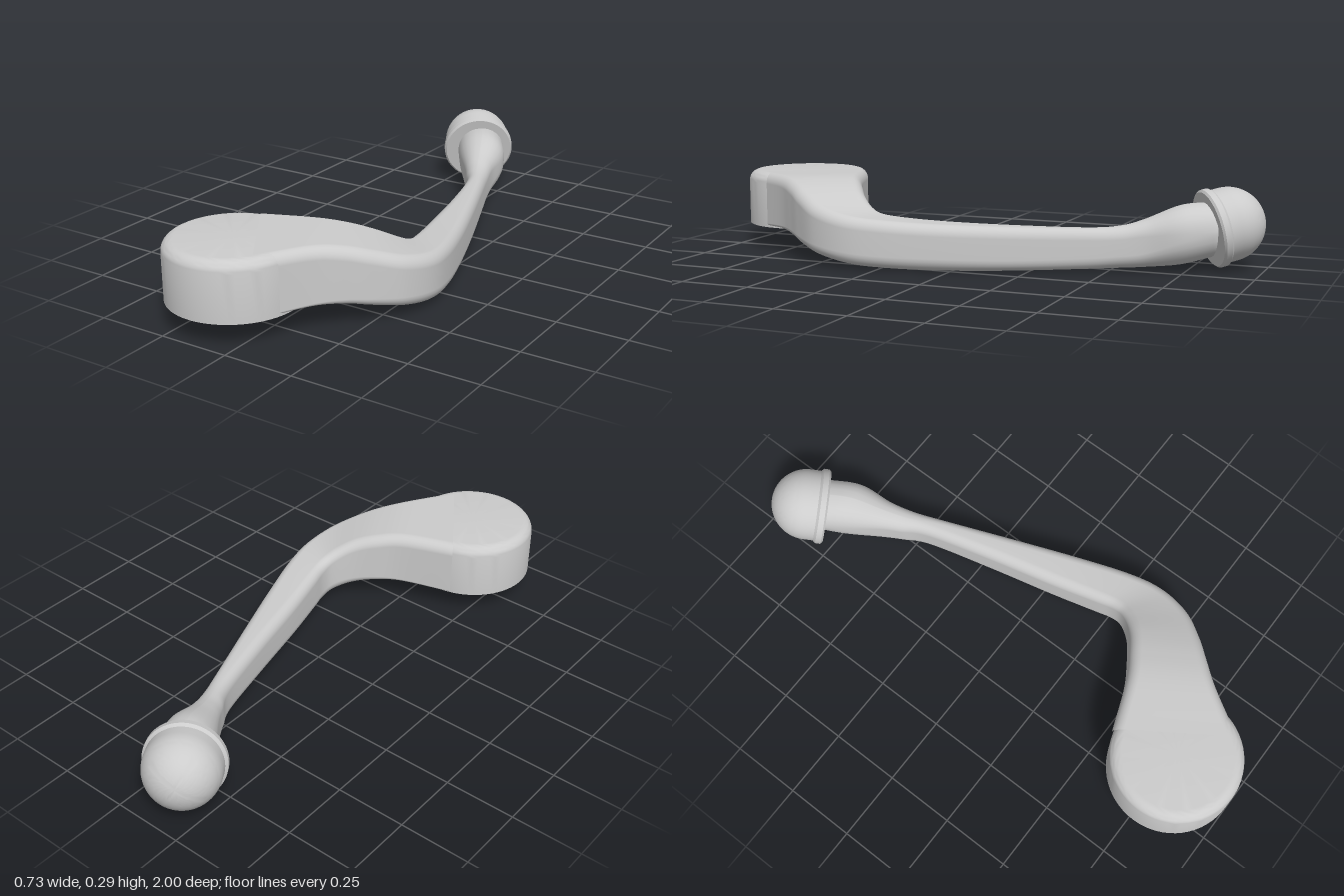
import * as THREE from 'three';
import { toCreasedNormals } from 'three/addons/utils/BufferGeometryUtils.js';

const material = new THREE.MeshStandardMaterial({ color: 0xcccccc });

// Stations along the arm: inner edge x, z | outer edge x, z | top, bottom | top and bottom edge radius
const STATIONS = [
  [-0.20, 0.545, 0.04, 0.90, 0.29, 0.088, 0.04, 0.006],
  [-0.02, 0.476, 0.14, 0.74, 0.29, 0.095, 0.04, 0.01],
  [0.07, 0.425, 0.21, 0.655, 0.275, 0.085, 0.04, 0.02],
  [0.14, 0.376, 0.27, 0.587, 0.25, 0.065, 0.04, 0.03],
  [0.185, 0.32, 0.335, 0.49, 0.215, 0.04, 0.04, 0.04],
  [0.195, 0.27, 0.362, 0.37, 0.19, 0.02, 0.04, 0.045],
  [0.18, 0.196, 0.345, 0.24, 0.177, 0.009, 0.04, 0.045],
  [0.14, 0.03, 0.286, 0.05, 0.165, 0.002, 0.04, 0.045],
  [0.085, -0.21, 0.20, -0.185, 0.158, 0.004, 0.04, 0.04],
  [0.02, -0.45, 0.11, -0.42, 0.155, 0.012, 0.04, 0.04],
  [-0.03, -0.54, 0.065, -0.54, 0.162, 0.015, 0.045, 0.045],
  [-0.07, -0.60, 0.037, -0.635, 0.185, 0.018, 0.055, 0.055],
  [-0.15, -0.70, 0.02, -0.757, 0.232, 0.027, 0.095, 0.095],
  [-0.20, -0.775, -0.04, -0.865, 0.24, 0.05, 0.095, 0.095],
];

// Loft of rounded rectangles whose edges follow smooth curves through the stations
function armGeometry() {
  const curve = (pick) => new THREE.CatmullRomCurve3(
    STATIONS.map((s) => new THREE.Vector3(...pick(s))), false, 'catmullrom', 0.5);
  const inner = curve((s) => [s[0], s[4], s[1]]);
  const outer = curve((s) => [s[2], s[5], s[3]]);
  const radii = curve((s) => [s[6], s[7], 0]);
  const rings = 104, arcSteps = 6, count = 4 * (arcSteps + 1);
  const positions = [], indices = [];
  for (let i = 0; i <= rings; i++) {
    const a = inner.getPoint(i / rings), b = outer.getPoint(i / rings), r = radii.getPoint(i / rings);
    const width = Math.hypot(b.x - a.x, b.z - a.z), top = a.y, bottom = b.y;
    const limit = 0.49 * Math.min(width, top - bottom);
    const rt = Math.min(r.x, limit), rb = Math.min(r.y, limit);
    const corners = [
      [width - rt, top - rt, rt], [rt, top - rt, rt],
      [rb, bottom + rb, rb], [width - rb, bottom + rb, rb],
    ];
    corners.forEach(([u, v, rad], q) => {
      for (let k = 0; k <= arcSteps; k++) {
        const angle = (q + k / arcSteps) * Math.PI / 2;
        const f = (u + rad * Math.cos(angle)) / width;
        positions.push(a.x + (b.x - a.x) * f, v + rad * Math.sin(angle), a.z + (b.z - a.z) * f);
      }
    });
    if (i === rings) break;
    for (let j = 0; j < count; j++) {
      const p = i * count + j, q = i * count + (j + 1) % count;
      indices.push(p, p + count, q, q, p + count, q + count);
    }
  }
  const geometry = new THREE.BufferGeometry();
  geometry.setAttribute('position', new THREE.Float32BufferAttribute(positions, 3));
  geometry.setIndex(indices);
  geometry.computeVertexNormals();
  return geometry;
}

// Points of an arc, angles in quarter turns
function arc(cx, cy, r, from, to, steps) {
  return Array.from({ length: steps + 1 }, (_, i) => {
    const t = (from + (to - from) * i / steps) * Math.PI / 2;
    return [cx + r * Math.cos(t), cy + r * Math.sin(t)];
  });
}

function turned(name, profile) {
  const points = profile.map(([x, y]) => new THREE.Vector2(Math.max(x, 0), y));
  const geometry = toCreasedNormals(new THREE.LatheGeometry(points, 64), 0.6);
  const mesh = new THREE.Mesh(geometry, material);
  mesh.name = name;
  return mesh;
}

export function createModel() {
  const group = new THREE.Group();
  group.name = 'crankHandle';

  // Round hub with a sharp lower rim and a softened upper one
  const hub = turned('hub', [[0, 0.085], [0.229, 0.085], ...arc(0.189, 0.25, 0.04, 0, 1, 8), [0, 0.29]]);
  hub.position.set(-0.137, 0, 0.77);
  group.add(hub);

  // Curved arm that drops, bends back and thickens towards the knob
  const arm = new THREE.Mesh(armGeometry(), material);
  arm.name = 'arm';
  group.add(arm);

  // Domed knob with a collar, tilted along the end of the arm
  const knob = turned('knob', [
    [0, -0.072], [0.132, -0.072], [0.139, -0.065], [0.139, -0.045], [0.13, -0.036],
    ...arc(0, 0, 0.13, 0, 1, 20),
  ]);
  knob.position.set(-0.165, 0.16, -0.87);
  knob.quaternion.setFromUnitVectors(
    new THREE.Vector3(0, 1, 0), new THREE.Vector3(-0.55, 0.22, -0.8).normalize());
  group.add(knob);

  return group;
}
